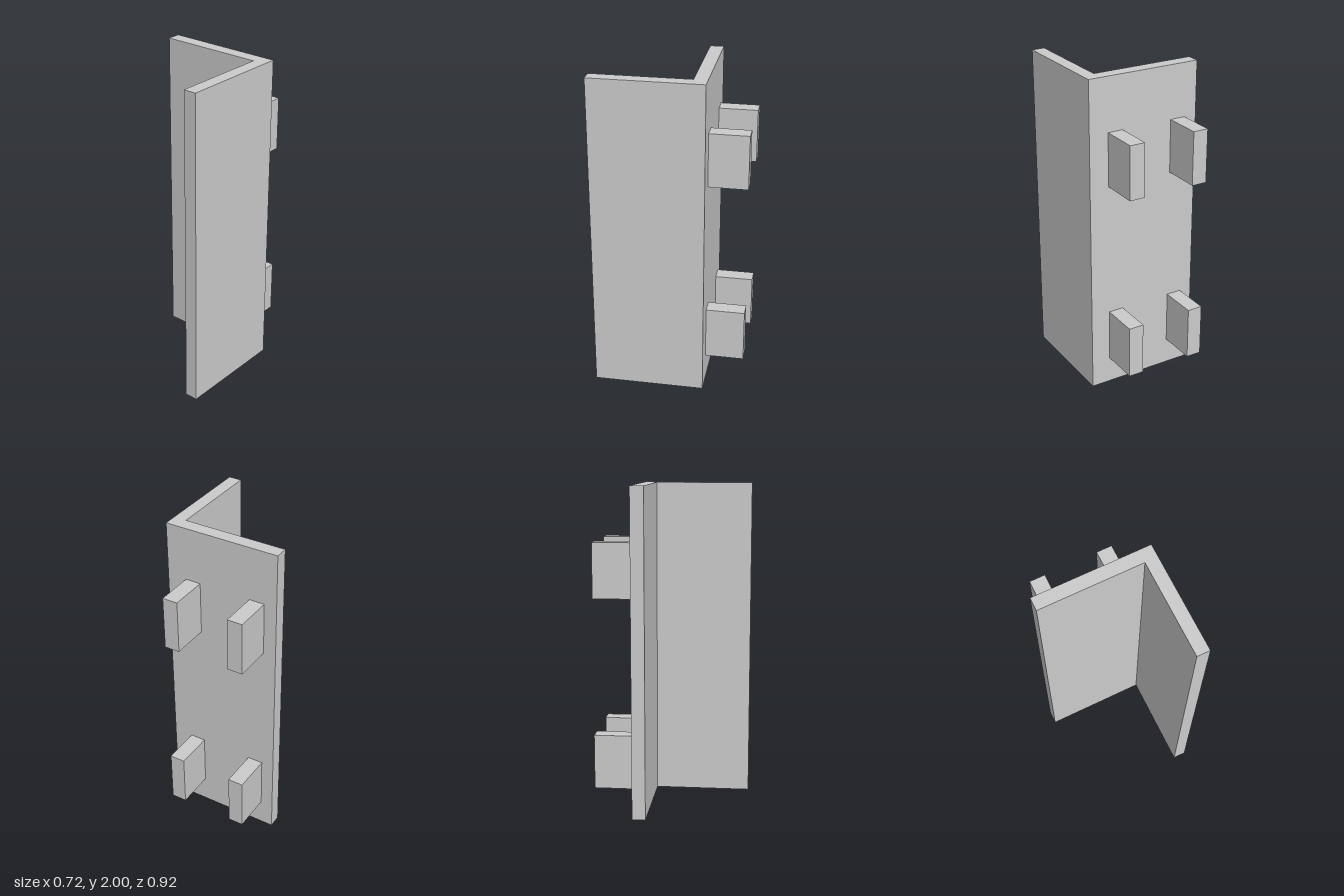
import * as THREE from 'three';

export function createModel() {
  const group = new THREE.Group();
  const material = new THREE.MeshStandardMaterial({ color: 0xcccccc, flatShading: true });

  // L-shaped angle: floor plan as (x, -z), extruded upwards
  const plan = new THREE.Shape([
    [-0.36, 0.14], [0.28, 0.14], [0.28, -0.46],
    [0.36, -0.46], [0.36, 0.222], [-0.36, 0.222],
  ].map(([x, y]) => new THREE.Vector2(x, y)));
  const angleGeometry = new THREE.ExtrudeGeometry(plan, { depth: 2, bevelEnabled: false });
  angleGeometry.rotateX(-Math.PI / 2);
  const angle = new THREE.Mesh(angleGeometry, material);
  angle.name = 'angleProfile';
  group.add(angle);

  // Four mounting tabs on the back plate
  const tabGeometry = new THREE.BoxGeometry(0.096, 0.333, 0.238);
  for (const [row, y] of [['lower', 0.335], ['upper', 1.502]]) {
    for (const [side, x] of [['Right', -0.233], ['Left', 0.19]]) {
      const tab = new THREE.Mesh(tabGeometry, material);
      tab.name = `${row}${side}Tab`;
      tab.position.set(x, y, -0.341);
      group.add(tab);
    }
  }
  return group;
}
